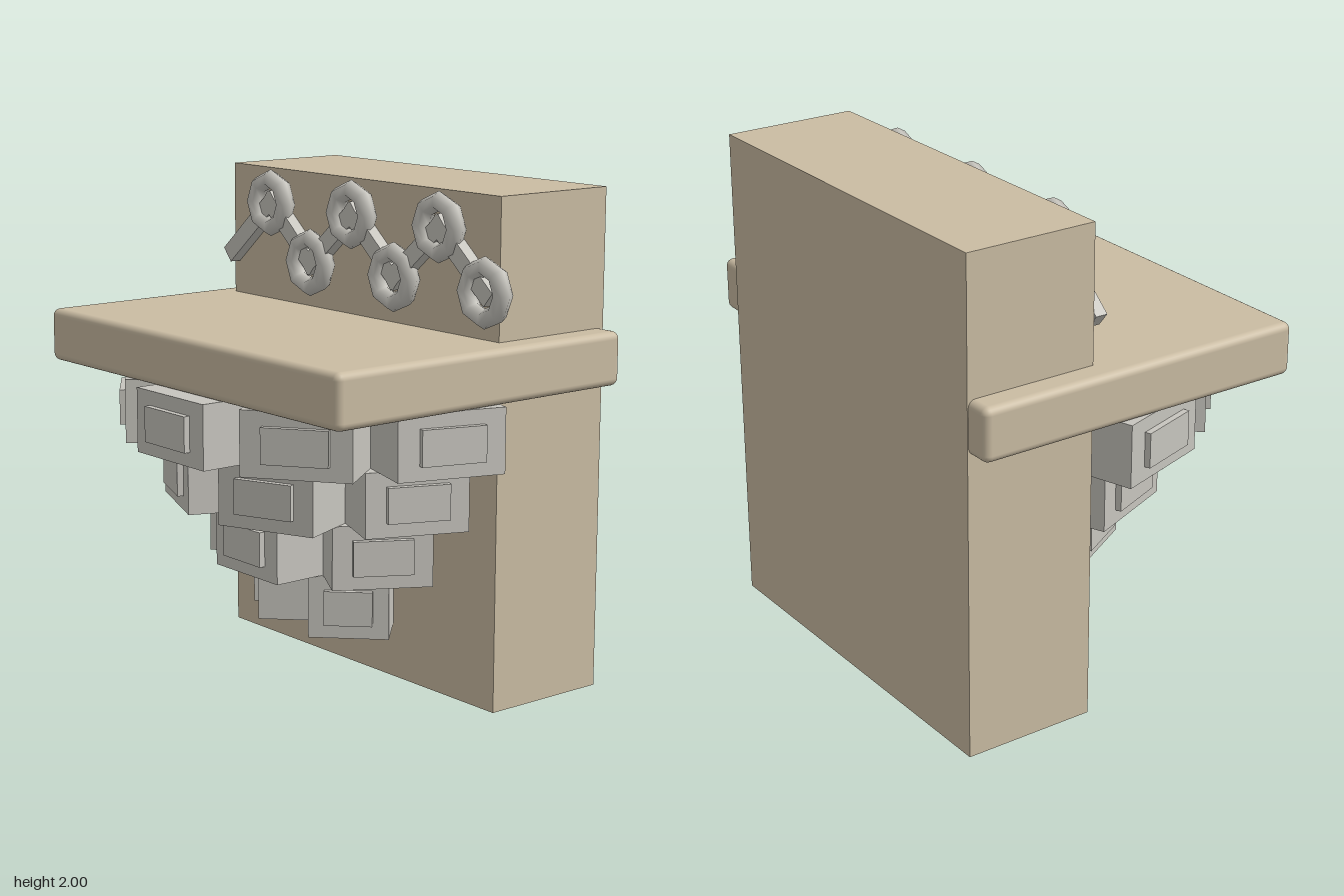
import * as THREE from 'three';
import { RoundedBoxGeometry } from 'three/addons/geometries/RoundedBoxGeometry.js';

export function createModel() {
  const model = new THREE.Group();
  model.name = 'corbelledBalcony';

  const sandstone = new THREE.MeshStandardMaterial({ color: 0xcabca3 });
  sandstone.name = 'sandstone';
  const greyStone = new THREE.MeshStandardMaterial({ color: 0xc7c5be });
  greyStone.name = 'greyStone';

  const add = (parent, name, geometry, material, x, y, z) => {
    const mesh = new THREE.Mesh(geometry, material);
    mesh.name = name;
    mesh.position.set(x, y, z);
    parent.add(mesh);
    return mesh;
  };

  // Wall and projecting slab
  const wallFront = -0.205;
  add(model, 'wall', new THREE.BoxGeometry(1.64, 2, 0.55), sandstone, 0, 1, -0.48);
  add(model, 'slab', new RoundedBoxGeometry(1.85, 0.213, 1.41, 3, 0.03), sandstone, 0, 1.346, -0.046);

  // Corbel tiers: blocks fanned over a half circle, widening upwards
  const tierHeight = 0.2545;
  const tiers = [
    { count: 2, radius: 0.39, width: 0.32 },
    { count: 3, radius: 0.57, width: 0.395 },
    { count: 4, radius: 0.755, width: 0.412 },
    { count: 5, radius: 0.93, width: 0.432 },
  ];
  tiers.forEach(({ count, radius, width }, t) => {
    const tier = new THREE.Group();
    tier.name = `corbelTier${t + 1}`;
    tier.position.set(0, 0.222 + tierHeight * (t + 0.5), wallFront);
    model.add(tier);
    const blockGeometry = new THREE.BoxGeometry(width, tierHeight, radius);
    const panelGeometry = new THREE.BoxGeometry(width * 0.6, tierHeight * 0.55, 0.05);
    for (let i = 0; i < count; i++) {
      const corbel = new THREE.Group();
      corbel.name = 'corbel';
      corbel.rotation.y = ((i + 0.5) / count - 0.5) * Math.PI;
      tier.add(corbel);
      add(corbel, 'corbelBlock', blockGeometry, greyStone, 0, 0, radius / 2);
      add(corbel, 'corbelPanel', panelGeometry, greyStone, 0, 0, radius);
    }
  });

  // Zigzag chain of rings joined by flat bars
  const chain = new THREE.Group();
  chain.name = 'chain';
  model.add(chain);
  const points = [];
  for (let i = 0; i < 7; i++) points.push(new THREE.Vector2(-0.78 + i * 0.26, i % 2 ? 1.86 : 1.64));
  const ringGeometry = new THREE.TorusGeometry(0.099, 0.039, 6, 8);
  const barGeometry = new THREE.BoxGeometry(0.416, 0.072, 0.05);
  for (let i = 1; i < points.length; i++) {
    const a = points[i - 1], b = points[i];
    add(chain, 'chainRing', ringGeometry, greyStone, b.x, b.y, -0.165);
    const bar = add(chain, 'chainBar', barGeometry, greyStone, (a.x + b.x) / 2, (a.y + b.y) / 2, -0.179);
    bar.rotation.z = Math.atan2(b.y - a.y, b.x - a.x);
  }

  return model;
}
